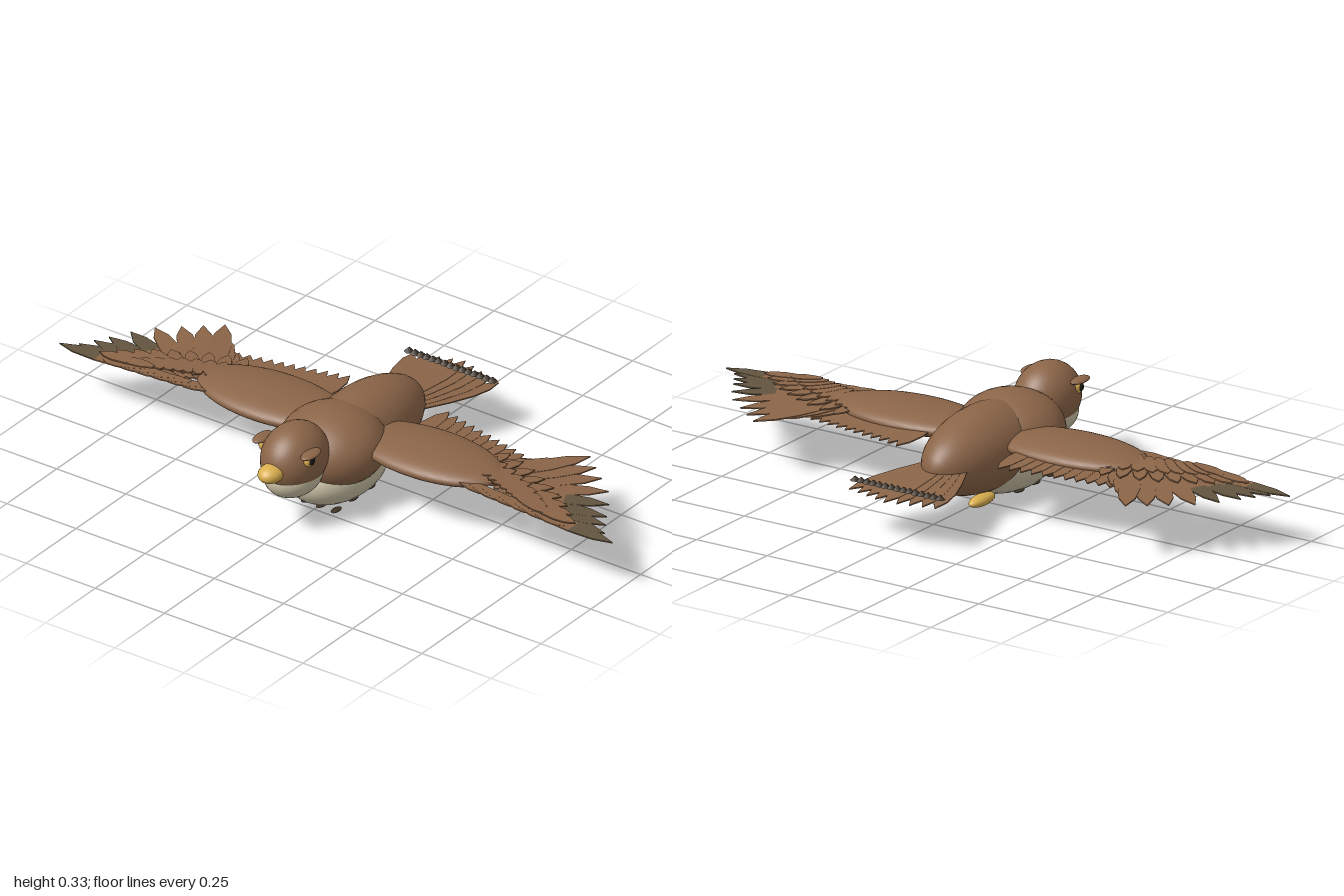
import * as THREE from 'three';

const mat = (name, color) => {
  const m = new THREE.MeshStandardMaterial({ color });
  m.name = name;
  return m;
};

export function createModel() {
  const bird = new THREE.Group();
  bird.name = 'bird';
  const brown = mat('brown plumage', 0x8b6548);
  const cream = mat('cream underside', 0xc9bfa4);
  const yellow = mat('yellow beak and feet', 0xd9ae4f);
  const darkTip = mat('dark wing tip', 0x62543f);
  const dark = mat('dark markings', 0x3d3226);
  const black = mat('pupil black', 0x1a1814);

  const group = (name) => {
    const g = new THREE.Group();
    g.name = name;
    bird.add(g);
    return g;
  };

  // Ellipsoid with its poles along z
  const blob = (name, material, pos, radii, parent = bird) => {
    const geo = new THREE.SphereGeometry(1, 32, 20).rotateX(Math.PI / 2);
    geo.scale(...radii);
    const mesh = new THREE.Mesh(geo, material);
    mesh.name = name;
    mesh.position.set(...pos);
    parent.add(mesh);
    return mesh;
  };

  // Thin pointed vane from root to tip; profile lists [position, half width] pairs
  const whole = [[0, 0.35], [0.3, 0.8], [0.6, 1], [0.83, 0.75], [1, 0]];
  const base = whole.slice(0, 3), end = whole.slice(2);
  const feather = (name, material, root, tip, width, parent, profile = whole) => {
    const a = new THREE.Vector3(...root), b = new THREE.Vector3(...tip);
    const length = a.distanceTo(b);
    const side = profile.map(([t, w]) => new THREE.Vector2((w * width) / 2, t * length));
    const other = side.filter((p) => p.x > 0).map((p) => new THREE.Vector2(-p.x, p.y)).reverse();
    const geo = new THREE.ExtrudeGeometry(new THREE.Shape([...side, ...other]),
      { depth: 0.004, bevelEnabled: false });
    geo.rotateX(Math.PI / 2);
    const mesh = new THREE.Mesh(geo, material);
    mesh.name = name;
    mesh.position.copy(a);
    mesh.lookAt(b);
    parent.add(mesh);
  };

  // Body, breast and head
  blob('body', brown, [0, 0.165, 0.02], [0.125, 0.13, 0.28]);
  blob('shoulders', brown, [0, 0.18, 0.155], [0.163, 0.12, 0.165]);
  blob('belly', cream, [0, 0.1, 0.135], [0.13, 0.1, 0.19]);
  blob('head', brown, [0, 0.228, 0.347], [0.093, 0.105, 0.118]);
  blob('throat', cream, [0, 0.175, 0.353], [0.082, 0.07, 0.102]);
  blob('beak', yellow, [0, 0.223, 0.465], [0.037, 0.028, 0.045]);

  // Breast spots
  const spots = group('breastSpots');
  for (const z of [0.08, 0.165, 0.25]) {
    for (const x of [-0.08, -0.027, 0.027, 0.08]) {
      blob('spot', dark, [x, 0.025, z], [0.012, 0.004, 0.022], spots);
    }
  }

  const lerp = THREE.MathUtils.lerp;
  const primaryTips = [[0.56, -0.11], [0.61, -0.16], [0.66, -0.22], [0.71, -0.18], [0.76, -0.14],
    [0.82, -0.09], [0.865, -0.03], [0.9, 0.03], [0.925, 0.07], [0.95, 0.11], [1, 0.14]];

  for (const s of [1, -1]) {
    const label = s > 0 ? 'left' : 'right';

    // Face and feet
    blob(label + 'Eye', yellow, [s * 0.08, 0.258, 0.385], [0.015, 0.022, 0.022]);
    blob(label + 'Pupil', black, [s * 0.09, 0.258, 0.387], [0.008, 0.013, 0.013]);
    blob(label + 'Brow', brown, [s * 0.087, 0.28, 0.387], [0.022, 0.009, 0.042]);
    blob(label + 'Foot', yellow, [s * 0.06, 0.041, -0.085], [0.024, 0.018, 0.06]);

    // Wing arm
    const wing = group(label + 'Wing');
    blob('wingArm', brown, [s * 0.28, 0.195, 0.065], [0.26, 0.04, 0.13], wing);

    // Trailing feathers of the inner wing
    for (let i = 0; i < 11; i++) {
      const t = i / 10;
      feather('secondaryFeather', brown, [s * lerp(0.18, 0.46, t), 0.203 - i * 0.0008, 0.07],
        [s * lerp(0.18, 0.53, t), 0.19 - i * 0.0008, lerp(-0.18, -0.11, t)], 0.055, wing);
    }

    // Fanned flight feathers of the outer wing
    primaryTips.forEach(([x, z], i) => {
      const t = i / (primaryTips.length - 1);
      const root = [s * lerp(0.45, 0.64, t), 0.2 - i * 0.0012, lerp(0.07, 0.14, t)];
      const tip = [s * x, 0.184 - i * 0.001, z];
      const width = lerp(0.07, 0.055, t);
      if (i < 6) feather('primaryFeather', brown, root, tip, width, wing);
      else {
        feather('primaryFeather', brown, root, tip, width, wing, base);
        feather('primaryFeatherTip', darkTip, root, tip, width, wing, end);
      }
    });

    // Overlapping covert rows
    for (let row = 0; row < 2; row++) {
      for (let i = 0; i < 9; i++) {
        const t = i / 8, reach = row ? 0.11 : 0.16;
        const angle = lerp(1.35, 0.05, t);
        const x = lerp(0.44, row ? 0.66 : 0.7, t), z = lerp(0.08, 0.14, t);
        const y = 0.21 + row * 0.007 - t * 0.008;
        feather('covertFeather', brown, [s * x, y, z],
          [s * (x + reach * Math.cos(angle)), y - 0.012, z - reach * Math.sin(angle)],
          0.045, wing);
      }
    }
    // Short feathers along the leading edge
    for (let i = 0; i < 6; i++) {
      const x = 0.42 + i * 0.055;
      feather('leadingFeather', brown, [s * x, 0.205 - i * 0.003, 0.135],
        [s * (x + 0.14), 0.196 - i * 0.003, 0.153], 0.045, wing);
    }
  }

  // Tail fan with a dark band of small barbs
  const tail = group('tail');
  for (let i = -4; i <= 4; i++) {
    const k = Math.abs(i);
    feather('tailFeather', brown, [i * 0.017, 0.166 - k * 0.001, -0.19],
      [i * 0.038, 0.147 - k * 0.0005, -0.51 + k * 0.011], 0.056, tail);
  }
  for (let i = -7; i <= 7; i++) {
    const barb = new THREE.Mesh(new THREE.ConeGeometry(0.016, 0.015, 6), dark);
    barb.name = 'tailBarb';
    barb.position.set(i * 0.0215, 0.17, -0.436);
    tail.add(barb);
  }
  return bird;
}
